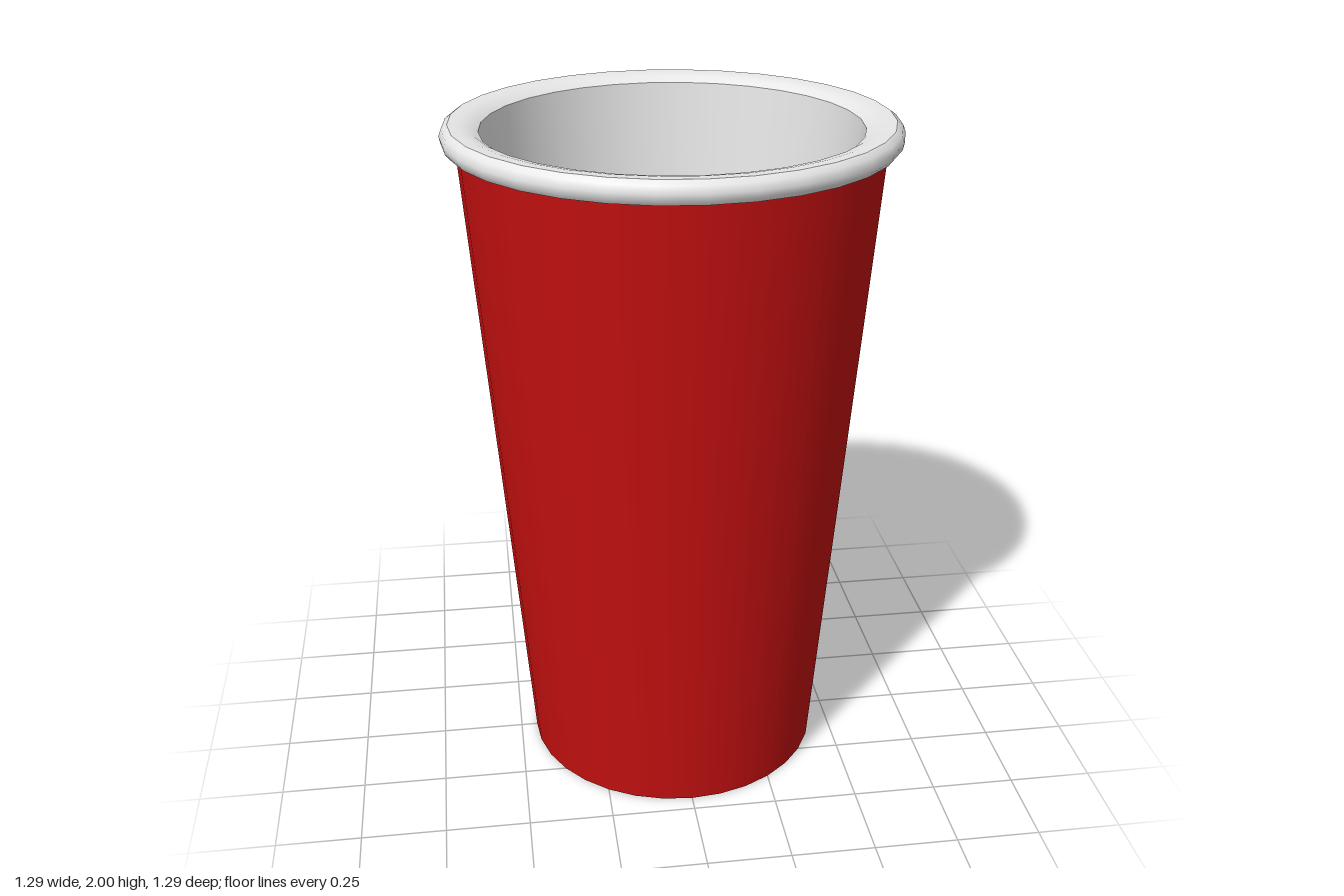
import * as THREE from 'three';

const SIDES = 32;

export function createModel() {
  const cup = new THREE.Group();
  cup.name = 'cup';

  const red = new THREE.MeshStandardMaterial({ color: 0xc41010 });
  red.name = 'red';
  const white = new THREE.MeshStandardMaterial({ color: 0xececec });
  white.name = 'white';

  // Each surface is its own lathe so that the edges between them stay sharp
  const lathe = (name, material, profile) => {
    const points = profile.map(([r, y]) => new THREE.Vector2(r, y));
    const mesh = new THREE.Mesh(new THREE.LatheGeometry(points, SIDES), material);
    mesh.name = name;
    cup.add(mesh);
  };

  // Tapered outer wall
  lathe('outerWall', red, [[0.45, 0], [0.605, 1.95]]);

  // Rolled rim: underside, rounded outer edge, gently dished top
  lathe('rimUnderside', white, [[0.6, 1.937], [0.632, 1.937]]);
  lathe('rimEdge', white, [[0.632, 1.937], [0.642, 1.95], [0.646, 1.968], [0.639, 1.988], [0.622, 2]]);
  lathe('rimTop', white, [[0.622, 2], [0.59, 1.999], [0.56, 1.992], [0.538, 1.978]]);

  // Interior
  lathe('innerWall', white, [[0.538, 1.978], [0.385, 0.09]]);
  lathe('innerFloor', white, [[0.385, 0.09], [0, 0.09]]);

  // Recessed base with its standing ring
  lathe('baseUnderside', white, [[0, 0.06], [0.4, 0.06]]);
  lathe('baseRecessWall', white, [[0.4, 0.06], [0.4, 0]]);
  lathe('baseRing', white, [[0.4, 0], [0.45, 0]]);

  return cup;
}
